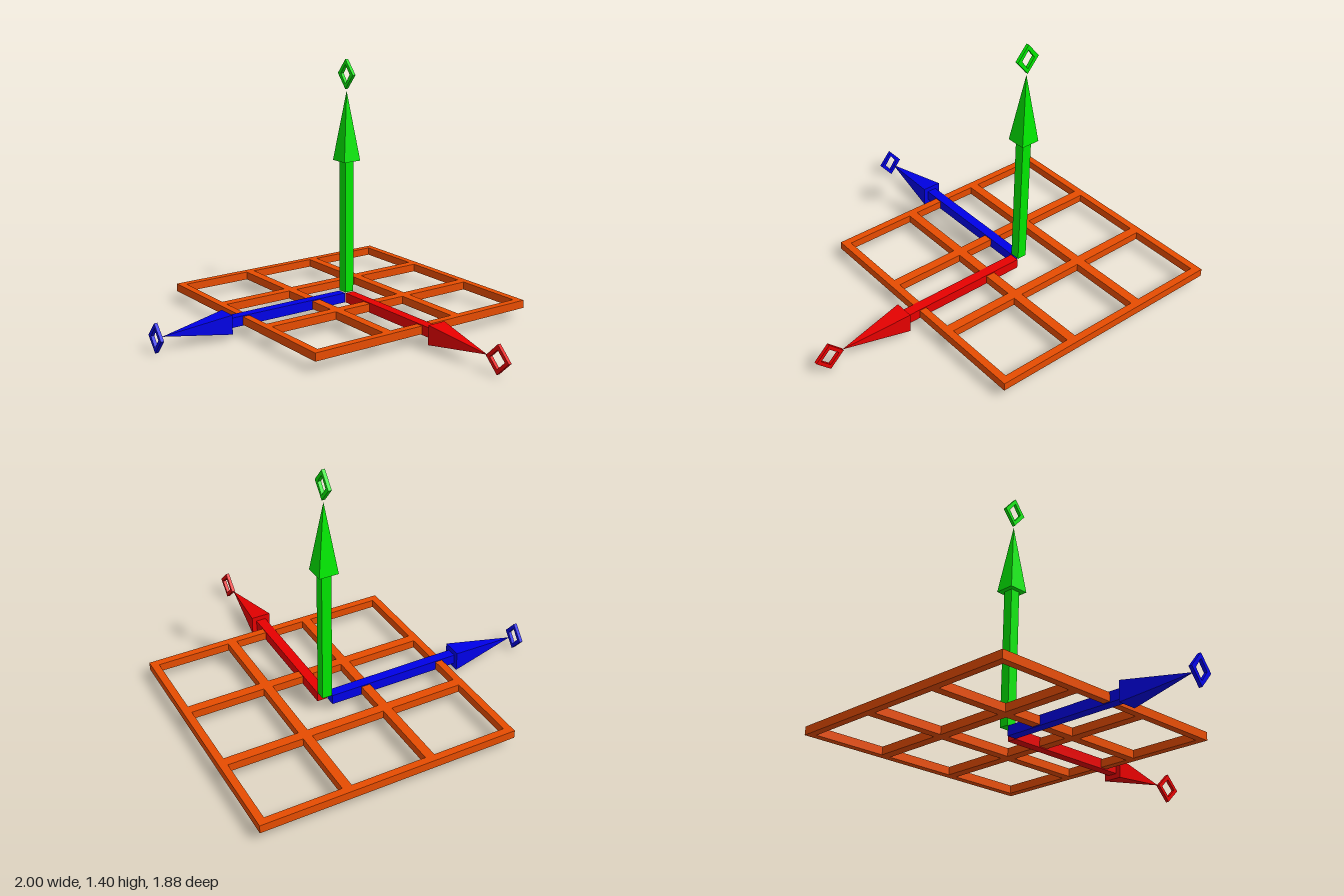
import * as THREE from 'three';

const paint = (name, color) => {
  const m = new THREE.MeshStandardMaterial({ color });
  m.name = name;
  return m;
};

// Rectangle path given by its edges
const rect = (path, x0, y0, x1, y1) => {
  path.moveTo(x0, y0);
  path.lineTo(x1, y0);
  path.lineTo(x1, y1);
  path.lineTo(x0, y1);
  path.closePath();
  return path;
};

const ORIGIN = new THREE.Vector3(-0.308, 0.08, -0.25);

// Flat lattice: one plate with three by three square openings
function floorGrid(material) {
  const cellsX = [[-0.96, -0.56], [-0.508, -0.112], [-0.06, 0.342]];
  const cellsZ = [[-0.902, -0.502], [-0.452, -0.05], [0, 0.402]];
  const shape = rect(new THREE.Shape(), -1, -0.442, 0.383, 0.942);
  for (const [x0, x1] of cellsX) {
    for (const [z0, z1] of cellsZ) shape.holes.push(rect(new THREE.Path(), x0, -z1, x1, -z0));
  }
  const geo = new THREE.ExtrudeGeometry(shape, { depth: 0.044, bevelEnabled: false });
  geo.rotateX(-Math.PI / 2);
  geo.translate(0, 0.058, 0);
  const mesh = new THREE.Mesh(geo, material);
  mesh.name = 'floorGrid';
  return mesh;
}

// Square-section arrow along +y, starting just off the origin
function arrow(name, material) {
  const group = new THREE.Group();
  group.name = name;
  const shaft = new THREE.Mesh(new THREE.BoxGeometry(0.054, 0.74, 0.054), material);
  shaft.name = 'shaft';
  shaft.position.y = 0.4;
  const headGeo = new THREE.ConeGeometry(0.053 * Math.SQRT2, 0.38, 4).rotateY(Math.PI / 4).toNonIndexed();
  headGeo.computeVertexNormals();
  const head = new THREE.Mesh(headGeo, material);
  head.name = 'arrowHead';
  head.position.y = 0.96;
  group.add(shaft, head);
  group.position.copy(ORIGIN);
  return group;
}

// Plain open diamond that marks the end of an axis
function endMarker(material, w, h, x, y, z) {
  const diamond = (path, a, b) => {
    path.moveTo(a, 0);
    path.lineTo(0, b);
    path.lineTo(-a, 0);
    path.lineTo(0, -b);
    path.closePath();
    return path;
  };
  const shape = diamond(new THREE.Shape(), w / 2, h / 2);
  shape.holes.push(diamond(new THREE.Path(), w / 2 - 0.028, h / 2 - 0.028));
  const geo = new THREE.ExtrudeGeometry(shape, { depth: 0.018, bevelEnabled: false });
  geo.translate(0, 0, -0.009);
  const mesh = new THREE.Mesh(geo, material);
  mesh.name = 'endMarker';
  mesh.position.set(x, y, z);
  return mesh;
}

export function createModel() {
  const orange = paint('orange', 0xe74c00);
  const red = paint('red', 0xe70000);
  const green = paint('green', 0x00e700);
  const blue = paint('blue', 0x0000e7);

  const model = new THREE.Group();
  model.name = 'axisGizmo';

  const right = arrow('redArrow', red);
  right.rotation.z = -Math.PI / 2;
  const up = arrow('greenArrow', green);
  const forward = arrow('blueArrow', blue);
  forward.rotation.x = Math.PI / 2;

  model.add(
    floorGrid(orange), right, up, forward,
    endMarker(red, 0.16, 0.156, 0.92, 0.08, ORIGIN.z),
    endMarker(green, 0.135, 0.16, ORIGIN.x, 1.32, ORIGIN.z),
    endMarker(blue, 0.135, 0.16, ORIGIN.x, 0.08, 0.933),
  );
  return model;
}
